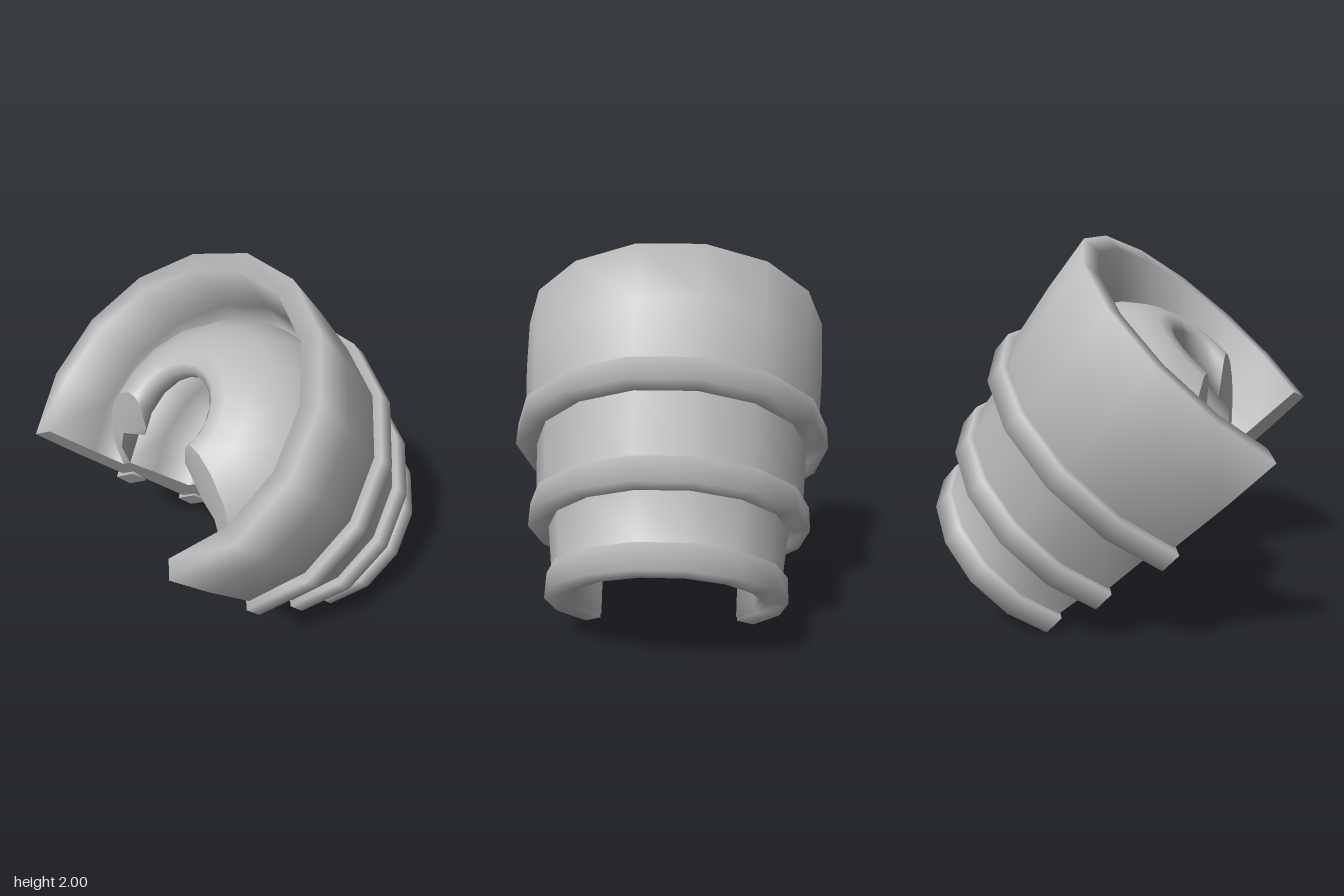
import * as THREE from 'three';
import { toCreasedNormals } from 'three/addons/utils/BufferGeometryUtils.js';

const HALF_ARC = THREE.MathUtils.degToRad(130);
const SEGMENTS = 11;
const CREASE = 1.7;

export function createModel() {
  const model = new THREE.Group();
  model.name = 'shoulderGuard';
  const greyMetal = new THREE.MeshStandardMaterial({ color: 0xbcbcbc, side: THREE.DoubleSide });
  greyMetal.name = 'greyMetal';

  // Tilted frame: local x points to the crest, local y runs up the axis
  const body = new THREE.Group();
  body.name = 'tiltedBody';
  body.rotation.z = THREE.MathUtils.degToRad(41.15);
  body.position.set(0.414, 0.362, 0);
  model.add(body);

  // Move each vertex to radius r and an angle that is a share of the local half arc
  function bend(geometry, halfArcAt, shareOf) {
    const pos = geometry.attributes.position;
    for (let i = 0; i < pos.count; i++) {
      const r = Math.hypot(pos.getX(i), pos.getZ(i));
      const y = pos.getY(i);
      const angle = halfArcAt(r, y) * shareOf(pos.getX(i), pos.getZ(i));
      pos.setXYZ(i, r * Math.cos(angle), y, -r * Math.sin(angle));
    }
    return geometry;
  }

  // Sweep a closed (radius, height) profile round the axis and cap both cut ends
  function sweep(name, profile, halfArcAt = () => HALF_ARC) {
    const part = new THREE.Group();
    part.name = name;
    const points = profile.map(([r, y]) => new THREE.Vector2(r, y));
    const lathe = bend(
      new THREE.LatheGeometry([...points, points[0].clone()], SEGMENTS, Math.PI / 2 - HALF_ARC, 2 * HALF_ARC),
      halfArcAt, (x, z) => Math.atan2(-z, x) / HALF_ARC);
    const surface = new THREE.Mesh(toCreasedNormals(lathe, CREASE), greyMetal);
    surface.name = name + 'Surface';
    part.add(surface);
    for (const side of [-1, 1]) {
      const flat = bend(new THREE.ShapeGeometry(new THREE.Shape(points)), halfArcAt, () => side);
      const cap = new THREE.Mesh(toCreasedNormals(flat, CREASE), greyMetal);
      cap.name = name + 'End';
      part.add(cap);
    }
    body.add(part);
  }

  // Flared shell: a narrow sleeve at the bottom, a ledge, then a wide cavity and socket
  sweep('shell', [
    [0.565, -0.12], [0.583, 0.0], [0.62, 0.24], [0.695, 0.36], [0.725, 0.69], [0.795, 0.8],
    [0.828, 1.15], [0.843, 1.453],
    [0.745, 1.45], [0.715, 1.15], [0.69, 0.93],
    [0.64, 0.93], [0.6, 0.75], [0.55, 0.5], [0.5, 0.5], [0.47, -0.12],
  ]);

  // Hollow inner dome with a round hole, trimmed by an upright plane at its open side
  const trimmedArc = (r, y) => {
    const c = (-0.56 - 0.414 + 0.658 * y) / (0.753 * r);
    return Math.min(HALF_ARC, Math.acos(THREE.MathUtils.clamp(c, -1, 1)));
  };
  sweep('innerDome', [
    [0.69, 0.93], [0.655, 1.08], [0.6, 1.19], [0.53, 1.28], [0.42, 1.365], [0.32, 1.41],
    [0.25, 1.415], [0.215, 1.385], [0.23, 1.3], [0.3, 1.22], [0.4, 1.21],
    [0.5, 1.17], [0.58, 1.08], [0.64, 0.93],
  ], trimmedArc);

  // Raised bands: outer radius, bottom and top along the axis
  const bands = [[0.607, -0.136, -0.007], [0.726, 0.235, 0.36], [0.838, 0.692, 0.81]];
  bands.forEach(([r, low, high], i) => {
    const inner = r - 0.12;
    sweep('band' + (i + 1), [[inner, low], [r, low], [r, high], [inner, high]], () => HALF_ARC + 0.02);
  });

  return model;
}
